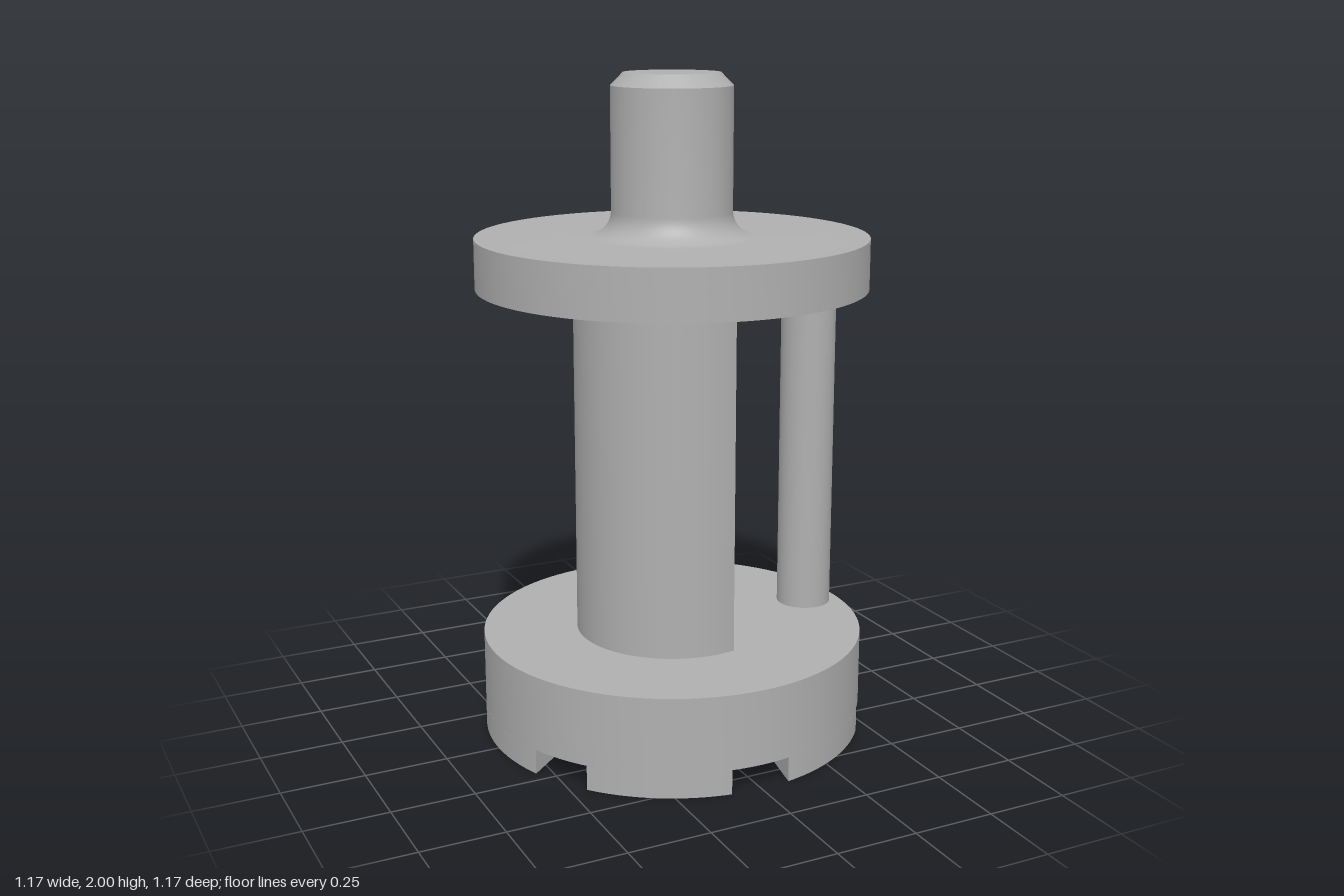
import * as THREE from 'three';
import { toCreasedNormals } from 'three/addons/utils/BufferGeometryUtils.js';

const RIM = 0.585, BORE = 0.172;
const rad = THREE.MathUtils.degToRad;

export function createModel() {
  const group = new THREE.Group();
  const steel = new THREE.MeshStandardMaterial({ color: 0xb0b0b0 });
  steel.name = 'steel grey';

  const add = (name, geometry) => {
    const mesh = new THREE.Mesh(toCreasedNormals(geometry, 0.4), steel);
    mesh.name = name;
    group.add(mesh);
    return mesh;
  };
  // turned part from [radius, height] pairs
  const turn = (name, profile) =>
    add(name, new THREE.LatheGeometry(profile.map(([r, y]) => new THREE.Vector2(r, y)), 96));
  // upright prism: shape x -> x, shape y -> -z
  const prism = (name, shape, y, height) => {
    const geo = new THREE.ExtrudeGeometry(shape, { depth: height, bevelEnabled: false, curveSegments: 48 });
    return add(name, geo.rotateX(-Math.PI / 2).translate(0, y, 0));
  };

  // base disc with a blind bore above and a small hole through its floor
  turn('baseDisc', [
    [0.07, 0.075], [RIM, 0.075], [RIM, 0.305], [BORE, 0.305],
    [BORE, 0.15], [0.07, 0.15], [0.07, 0.075],
  ]);

  // six pointed feet, leaving radial slots between them
  const half = rad(20.9);
  const foot = new THREE.Shape();
  foot.moveTo(0.307, 0);
  foot.lineTo(RIM * Math.cos(half), -RIM * Math.sin(half));
  foot.absarc(0, 0, RIM, -half, half, false);
  foot.closePath();
  for (let i = 0; i < 6; i++) {
    prism('foot' + (i + 1), foot, 0, 0.075).rotation.y = i * Math.PI / 3;
  }

  // half-round sleeve, open towards +x
  const outer = rad(77.4), inner = rad(100);
  const sleeve = new THREE.Shape();
  sleeve.absarc(0, 0, 0.296, outer, 2 * Math.PI - outer, false);
  sleeve.absarc(0, 0, BORE, 2 * Math.PI - inner, inner, true);
  sleeve.closePath();
  prism('sleeve', sleeve, 0.305, 1.07);

  // side post
  add('sidePost', new THREE.CylinderGeometry(0.085, 0.085, 1.07, 48).translate(0.475, 0.84, 0));

  // top flange and shaft with a root fillet and chamfered tip
  const fillet = [];
  for (let i = 0; i <= 10; i++) {
    const a = (i / 10) * Math.PI / 2;
    fillet.push([0.255 - 0.075 * Math.sin(a), 1.6 - 0.075 * Math.cos(a)]);
  }
  turn('flangeAndShaft', [
    [0, 1.375], [RIM, 1.375], [RIM, 1.525], ...fillet,
    [0.18, 1.963], [0.143, 2], [0, 2],
  ]);

  return group;
}
